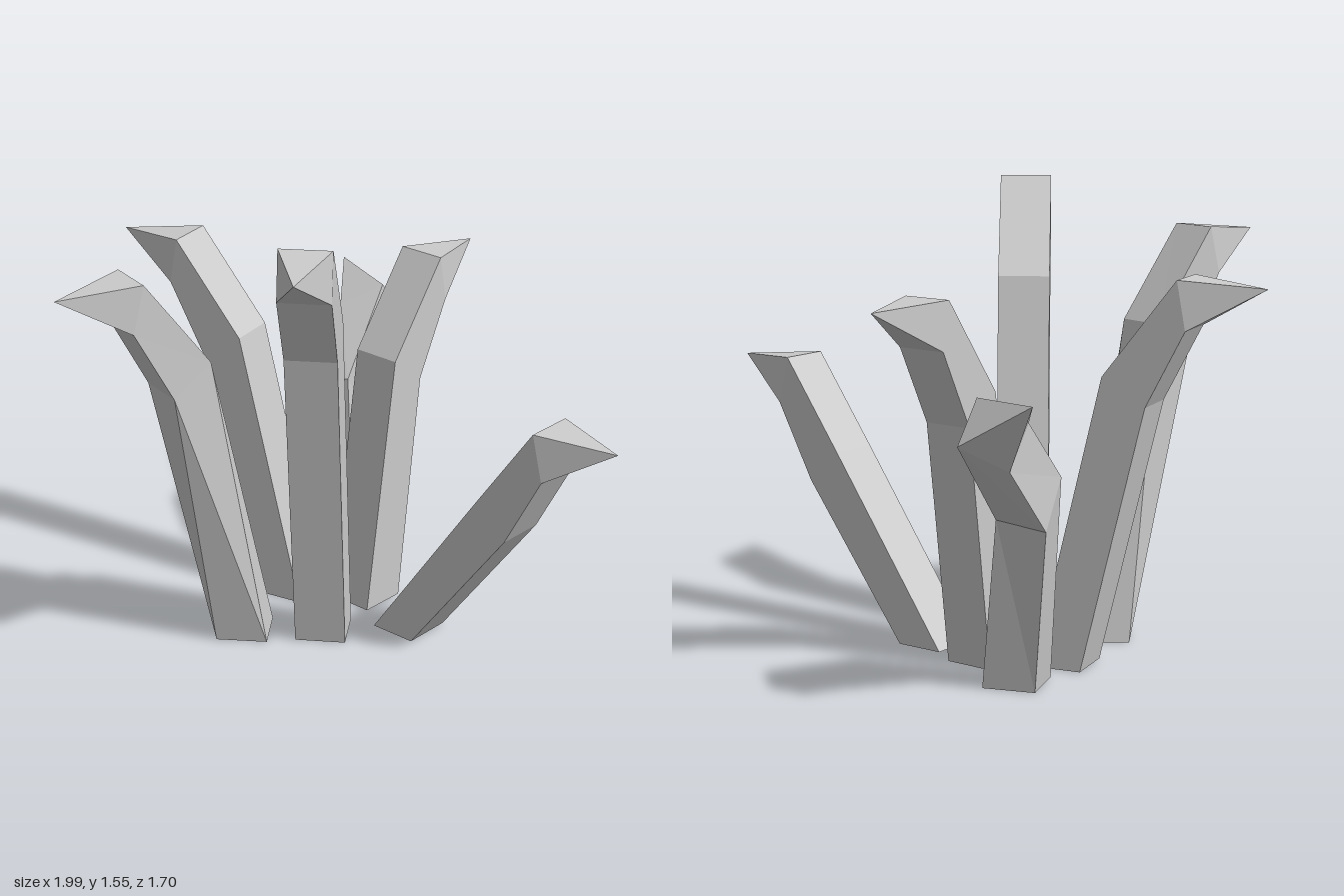
import * as THREE from 'three';

const HALF_WIDTH = 0.0875;
const rad = THREE.MathUtils.degToRad;

// Four corners of a cross-section: inner edge, then outer edge.
// heading: compass direction the section faces; tilt: sideways lean of its edges.
function ring({ inner, outer, heading, tilt = 0 }) {
  const h = rad(heading), t = rad(tilt);
  const side = new THREE.Vector3(Math.cos(h) * Math.cos(t), Math.sin(t), -Math.sin(h) * Math.cos(t))
    .multiplyScalar(HALF_WIDTH);
  const i = new THREE.Vector3(...inner), o = new THREE.Vector3(...outer);
  return [i.clone().sub(side), i.clone().add(side), o.clone().add(side), o.clone().sub(side)];
}

// Four-sided shard lofted through its sections and closed by a pointed tip
function shard(name, sections, tip) {
  const rings = sections.map(ring);
  const apex = new THREE.Vector3(...tip);
  const points = [];
  const quad = (a, b, c, d) => points.push(a, b, c, a, c, d);

  quad(...rings[0]); // base cap
  for (let k = 0; k < rings.length; k++) {
    for (let j = 0; j < 4; j++) {
      const n = (j + 1) % 4;
      if (k < rings.length - 1) quad(rings[k][j], rings[k + 1][j], rings[k + 1][n], rings[k][n]);
      else points.push(rings[k][j], apex, rings[k][n]);
    }
  }
  const geometry = new THREE.BufferGeometry().setFromPoints(points);
  geometry.computeVertexNormals();
  const mesh = new THREE.Mesh(geometry, new THREE.MeshStandardMaterial({ color: 0xcccccc, flatShading: true }));
  mesh.name = name;
  return mesh;
}

// Shard that bends in one vertical plane.
// profile rows: inner reach, inner height, outer reach, outer height
function straightShard(name, x, z, heading, profile, tip) {
  const h = rad(heading);
  const at = (r, y) => [x + r * Math.sin(h), y, z + r * Math.cos(h)];
  const sections = profile.map(([ri, yi, ro, yo]) => ({ inner: at(ri, yi), outer: at(ro, yo), heading }));
  return shard(name, sections, at(...tip));
}

export function createModel() {
  const model = new THREE.Group();
  model.name = 'shardCluster';

  model.add(
    straightShard('leftShard', 0.06, -0.2075, 90.9,
      [[0, 0, 0.17, 0], [0.44, 0.63, 0.56, 0.52], [0.66, 0.94, 0.70, 0.78]], [0.93, 0.92]),
    straightShard('backShard', -0.1175, -0.185, 180,
      [[0, 0, 0.17, 0], [0.14, 0.92, 0.275, 0.82], [0.375, 1.24, 0.405, 1.08]], [0.645, 1.22]),
    straightShard('rightShard', -0.27, -0.15, -76.5,
      [[0, 0, 0.165, 0], [0.233, 0.98, 0.38, 0.89], [0.481, 1.30, 0.51, 1.14]], [0.75, 1.275]),
    straightShard('tallFrontLeftShard', -0.1025, -0.05, 35.2,
      [[0, 0, 0.172, 0], [0.23, 1.23, 0.373, 1.14], [0.472, 1.555, 0.51, 1.39]], [0.734, 1.53]),

    // Shards whose sections also twist
    shard('frontShard', [
      { inner: [-0.19, 0, 0.15], outer: [-0.3325, 0, 0.255], heading: -53 },
      { inner: [-0.31, 1.08, 0.35], outer: [-0.34, 0.98, 0.49], heading: -14 },
      { inner: [-0.37, 1.395, 0.577], outer: [-0.378, 1.235, 0.62], heading: -15 },
    ], [-0.435, 1.37, 0.845]),
    shard('backRightShard', [
      { inner: [-0.325, 0, -0.3275], outer: [-0.385, 0, -0.4925], heading: 200 },
      { inner: [-0.45, 0.71, -0.435], outer: [-0.48, 0.56, -0.555], heading: 190, tilt: -7 },
      { inner: [-0.51, 0.945, -0.685], outer: [-0.53, 0.815, -0.805], heading: 222, tilt: -27 },
    ], [-0.73, 1.0, -0.83]),
  );
  return model;
}
